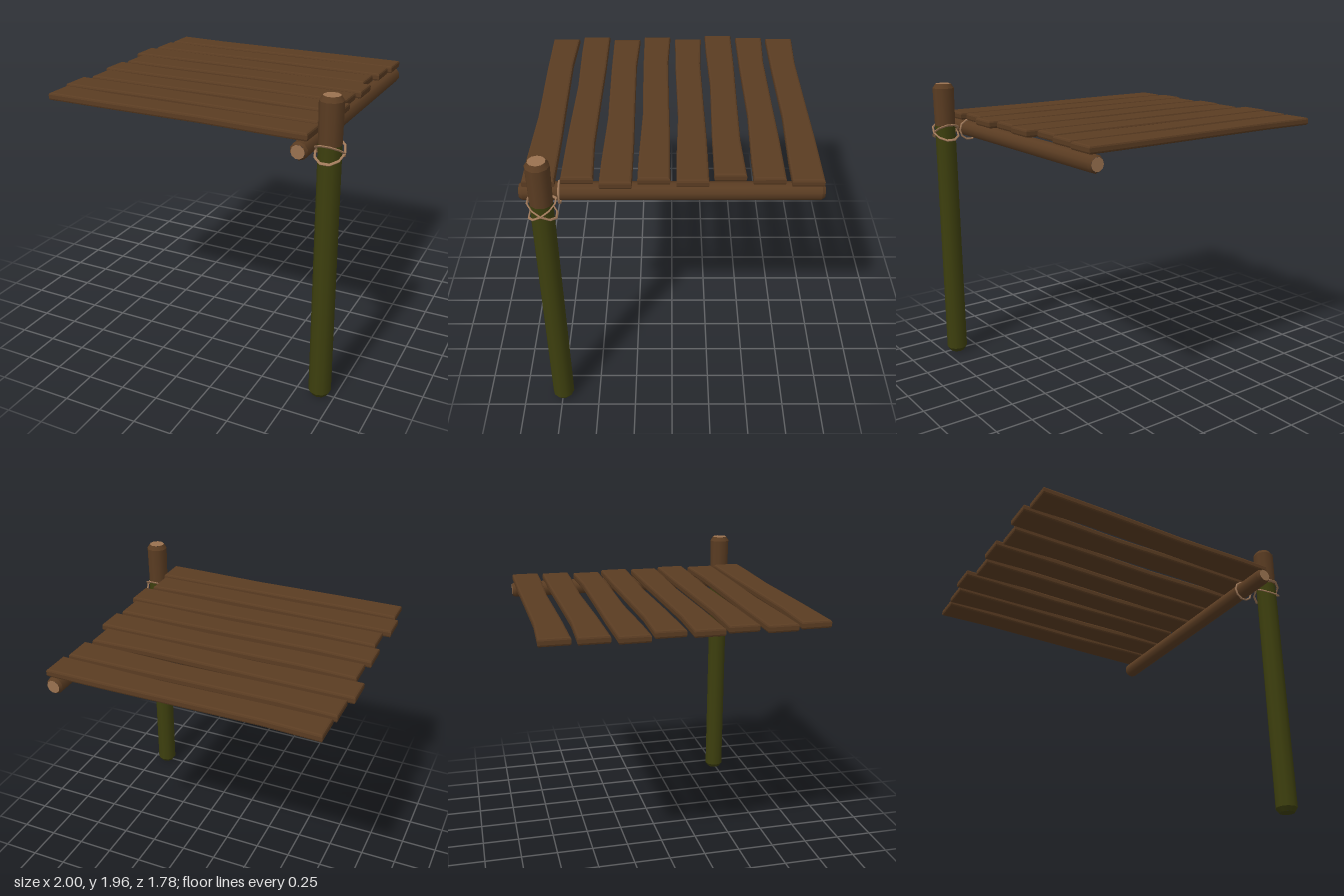
import * as THREE from 'three';

const mat = (name, color) => Object.assign(new THREE.MeshStandardMaterial({ color }), { name });

export function createModel() {
  const bark = mat('brown wood', 0x5a3c22);
  const algae = mat('mossy green wood', 0x3d3f0e);
  const cut = mat('cut wood', 0x9a7250);
  const twine = mat('rope', 0xa17a5a);
  const model = new THREE.Group();
  model.name = 'dockSection';

  const add = (parent, name, geometry, material) => {
    const mesh = new THREE.Mesh(geometry, material);
    mesh.name = name;
    parent.add(mesh);
    return mesh;
  };

  // Round log stacked along y from [height, radius] rings, with flat ends
  function log(name, rings, materials, bottomMaterial) {
    const group = new THREE.Group();
    group.name = name;
    for (let i = 0; i < rings.length - 1; i++) {
      const [y0, r0] = rings[i], [y1, r1] = rings[i + 1];
      const g = new THREE.CylinderGeometry(r1, r0, y1 - y0, 10, 1, true);
      add(group, name + 'Section', g.translate(0, (y0 + y1) / 2, 0), materials[i]);
    }
    const [yb, rb] = rings[0], [yt, rt] = rings[rings.length - 1];
    add(group, name + 'Top', new THREE.CircleGeometry(rt, 10).rotateX(-Math.PI / 2).translate(0, yt, 0), cut);
    add(group, name + 'Bottom', new THREE.CircleGeometry(rb, 10).rotateX(Math.PI / 2).translate(0, yb, 0), bottomMaterial);
    model.add(group);
    return group;
  }

  // Post: green below the waterline, brown above
  log('post', [[0, 0.05], [0.03, 0.071], [1.675, 0.069], [1.93, 0.072], [1.96, 0.052]],
    [algae, algae, bark, bark], algae).position.set(0.9, 0, 0.745);

  // Beam under the planks
  const beam = log('beam', [[-0.89, 0.043], [-0.87, 0.055], [0.87, 0.055], [0.89, 0.043]],
    [bark, bark, bark], cut);
  beam.rotation.x = Math.PI / 2;
  beam.position.set(0.765, 1.653, 0);

  // Planks with gently wavy edges: [left x, right x, z, mirrored]
  const planks = [
    [-0.95, 0.81, -0.785], [-0.965, 0.79, -0.565], [-1, 0.755, -0.34, true], [-0.94, 0.815, -0.12],
    [-0.97, 0.79, 0.105], [-0.93, 0.83, 0.325], [-0.975, 0.785, 0.55, true], [-0.945, 0.81, 0.77],
  ];
  const bevel = 0.013;
  for (const [x0, x1, z, mirrored] of planks) {
    const L = (x1 - x0) / 2, s = mirrored ? -1 : 1;
    const outline = [[-1, -0.095], [-0.5, -0.093], [0.2, -0.081], [0.75, -0.094], [1, -0.095],
      [1, 0.095], [0.5, 0.094], [0.1, 0.088], [-0.58, 0.08], [-1, 0.095]];
    const shape = new THREE.Shape(outline.map(([x, y]) => new THREE.Vector2(x * L * s, y)));
    const g = new THREE.ExtrudeGeometry(shape, {
      depth: 0.05 - 2 * bevel, bevelThickness: bevel, bevelSize: bevel, bevelOffset: -bevel, bevelSegments: 2,
    });
    g.rotateX(-Math.PI / 2);
    add(model, 'plank', g, bark).position.set((x0 + x1) / 2, 1.709 + bevel, z);
  }

  // Rope lashing: two crossed loops on the post and one around the beam
  for (const s of [-1, 1]) {
    const g = new THREE.TorusGeometry(0.088, 0.007, 6, 10).rotateX(Math.PI / 2);
    g.scale(1, 1, 0.95);
    // shear so the loop rises from back to front, or the reverse
    const p = g.attributes.position;
    for (let i = 0; i < p.count; i++) p.setY(i, p.getY(i) + s * 0.64 * p.getZ(i));
    g.computeVertexNormals();
    add(model, 'postRope', g, twine).position.set(0.9, 1.632, 0.742);
  }
  const loop = add(model, 'beamRope', new THREE.TorusGeometry(0.068, 0.007, 6, 10), twine);
  loop.position.set(0.765, 1.645, 0.655);

  return model;
}
